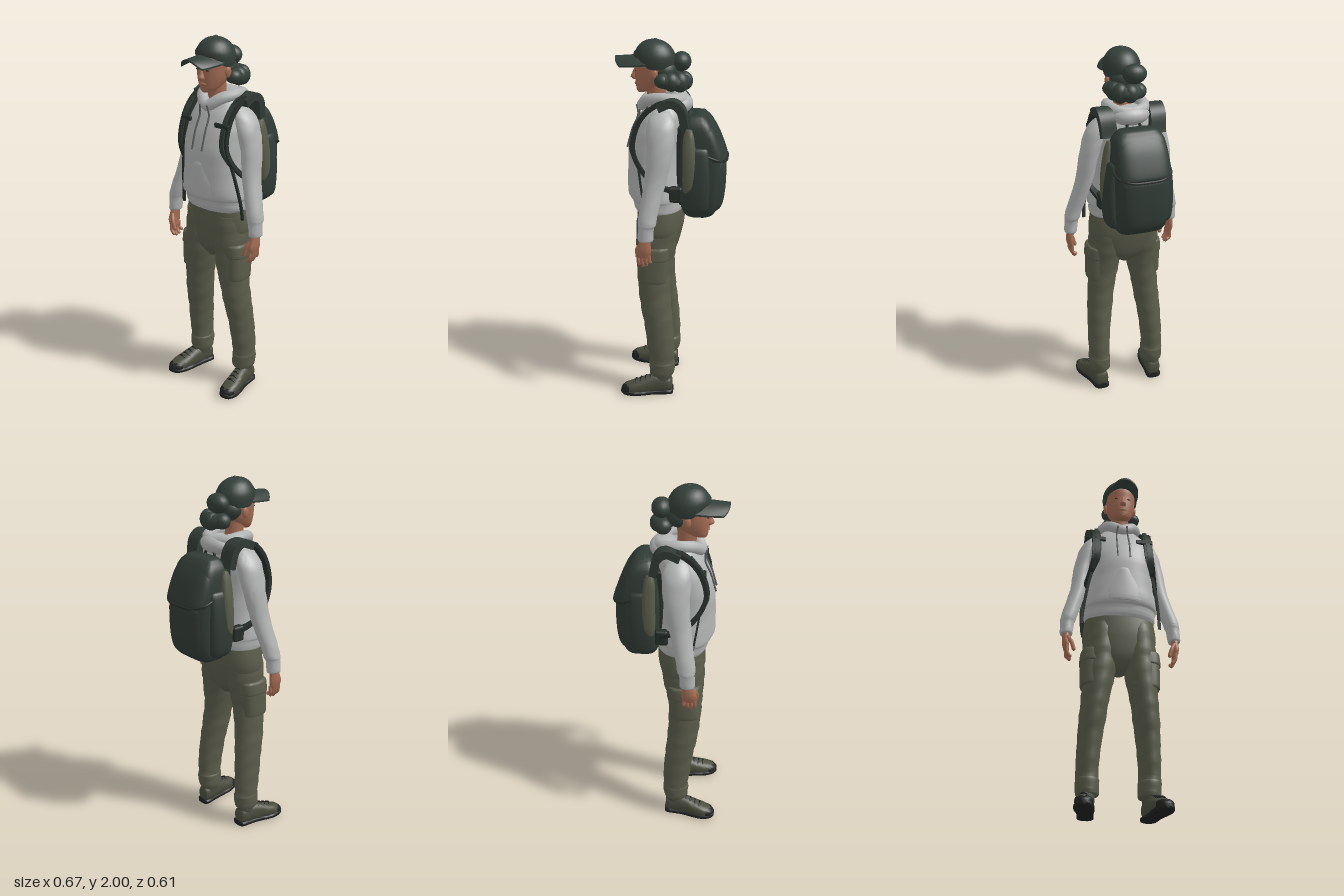
import * as THREE from 'three';
import { toCreasedNormals } from 'three/addons/utils/BufferGeometryUtils.js';
import { RoundedBoxGeometry } from 'three/addons/geometries/RoundedBoxGeometry.js';

const mat = (name, color) => Object.assign(new THREE.MeshStandardMaterial({ color }), { name });
const M = {
  hoodie: mat('light grey cloth', 0xb2b3b3), pants: mat('olive cloth', 0x5a5c4a),
  cap: mat('dark green cloth', 0x343f39), pack: mat('pack green', 0x313b35),
  strap: mat('strap black green', 0x272e2a), panel: mat('pack olive', 0x575b48),
  skin: mat('skin', 0xa56d55), shoe: mat('shoe olive', 0x4a4c3d),
  sole: mat('sole black', 0x1f2120), cord: mat('cord grey', 0x5a5d5e),
};
const V = (x, y, z) => new THREE.Vector3(x, y, z);

// Smooth value through four neighbouring rows
const spline = (a, b, c, d, t) => 0.5 * (2 * b + (c - a) * t + (2 * a - 5 * b + 4 * c - d) * t * t + (3 * b - a - 3 * c + d) * t ** 3);

// Closed loft through rows of [height, centreX, centreZ, radiusX, radiusZ]
function loft(rows, { s = 1, power = 2, fold = 0, n = 28, steps = 4 } = {}) {
  const pos = [], idx = [], rings = [], last = rows.length - 1;
  const row = i => rows[Math.min(Math.max(i, 0), last)];
  for (let i = 0; i < last; i++) for (let k = 0; k < steps; k++)
    rings.push(rows[0].map((_, c) => spline(row(i - 1)[c], row(i)[c], row(i + 1)[c], row(i + 2)[c], k / steps)));
  rings.push(rows[last]);
  const bend = v => Math.sign(v) * Math.abs(v) ** (2 / power);
  rings.forEach(([y, cx, cz, rx, rz]) => {
    for (let j = 0; j < n; j++) {
      const a = j / n * Math.PI * 2;
      const f = 1 + fold * (Math.sin(y * 62 + 2 * a + Math.sin(3 * a)) + 0.6 * Math.sin(y * 105 - 3 * a));
      pos.push(s * cx + rx * f * bend(Math.cos(a)), y, cz + rz * f * bend(Math.sin(a)));
    }
  });
  const top = rings.length - 1, c0 = pos.length / 3;
  [rings[0], rings[top]].forEach(([y, cx, cz]) => pos.push(s * cx, y, cz));
  for (let j = 0; j < n; j++) {
    const k = (j + 1) % n;
    for (let i = 0; i < top; i++) {
      const a = i * n + j, b = i * n + k;
      idx.push(a, a + n, b, b, a + n, b + n);
    }
    idx.push(c0, j, k, c0 + 1, top * n + k, top * n + j);
  }
  const g = new THREE.BufferGeometry();
  g.setAttribute('position', new THREE.Float32BufferAttribute(pos, 3));
  g.setIndex(idx);
  return toCreasedNormals(g, 0.9);
}

const path = (pts, s = 1, closed = false) => new THREE.CatmullRomCurve3(pts.map(p => V(s * p[0], p[1], p[2])), closed);
const tube = (pts, r, s = 1, closed = false) => new THREE.TubeGeometry(path(pts, s, closed), 32, r, 10, closed);

// Flat band that follows a path, its width kept along x
function ribbon(pts, width, thick, s = 1) {
  const g = new THREE.BoxGeometry(width, thick, 1, 1, 1, 28), p = g.attributes.position, curve = path(pts, s);
  for (let i = 0; i < p.count; i++) {
    const t = p.getZ(i) + 0.5, n = curve.getTangent(t).cross(V(1, 0, 0)).normalize();
    const q = curve.getPoint(t).addScaledVector(n, p.getY(i));
    p.setXYZ(i, q.x + p.getX(i), q.y, q.z);
  }
  g.computeVertexNormals();
  return g;
}

const ball = (x, y, z, rx, ry, rz) => new THREE.SphereGeometry(1, 20, 14).scale(rx, ry, rz).translate(x, y, z);
const block = (x, y, z, w, h, d, r = 0.004) => new RoundedBoxGeometry(w, h, d, 2, r).translate(x, y, z);

export function createModel() {
  const model = new THREE.Group();
  const add = (name, geometry, material) => {
    const m = new THREE.Mesh(geometry, material);
    m.name = name;
    model.add(m);
  };

  // Head, face and neck
  add('neck', loft([[1.62, 0, 0.07, 0.055, 0.055], [1.7, 0, 0.085, 0.048, 0.05], [1.78, 0, 0.09, 0.052, 0.06]]), M.skin);
  add('head', loft([[1.718, 0, 0.165, 0.02, 0.02], [1.732, 0, 0.145, 0.043, 0.046], [1.76, 0, 0.122, 0.061, 0.074],
    [1.8, 0, 0.108, 0.076, 0.091], [1.85, 0, 0.1, 0.084, 0.1], [1.9, 0, 0.1, 0.086, 0.102], [1.95, 0, 0.1, 0.07, 0.075]], { power: 2.2 }), M.skin);
  add('nose', loft([[1.785, 0, 0.198, 0.014, 0.012], [1.797, 0, 0.2, 0.018, 0.024], [1.82, 0, 0.196, 0.011, 0.018], [1.85, 0, 0.19, 0.008, 0.01]], { n: 12 }), M.skin);
  add('lips', ball(0, 1.764, 0.193, 0.023, 0.008, 0.009), M.skin);
  add('chin', ball(0, 1.735, 0.176, 0.022, 0.015, 0.016), M.skin);
  for (const s of [1, -1]) {
    add('eye', ball(s * 0.033, 1.836, 0.192, 0.014, 0.004, 0.004), M.strap);
    add('ear', ball(s * 0.083, 1.822, 0.09, 0.012, 0.03, 0.02), M.skin);
  }

  // Hair: back of the head, upper bun and the roll over the left shoulder
  add('backHair', ball(0, 1.835, 0.045, 0.083, 0.065, 0.07), M.cap);
  add('bun', ball(-0.02, 1.878, -0.045, 0.066, 0.052, 0.052), M.cap);
  const roll = [[-0.045, 1.785, -0.035], [0.01, 1.782, -0.065], [0.06, 1.782, -0.045], [0.077, 1.785, 0], [0.08, 1.79, 0.045]];
  roll.forEach((p, i) => add('hairRollLobe', ball(...p, 0.044, [0.042, 0.05, 0.054, 0.05, 0.038][i], 0.044), M.cap));
  add('hairRoll', tube(roll, 0.041), M.cap);

  // Cap: crown raised at the front, button and curved brim
  const crown = loft([[1.848, 0, 0.095, 0.094, 0.104], [1.88, 0, 0.095, 0.1, 0.111], [1.92, 0, 0.095, 0.097, 0.107],
    [1.96, 0, 0.097, 0.077, 0.084], [1.985, 0, 0.1, 0.046, 0.05], [1.995, 0, 0.1, 0.012, 0.012]]);
  const cp = crown.attributes.position;
  for (let i = 0; i < cp.count; i++) {
    const low = THREE.MathUtils.clamp((1.94 - cp.getY(i)) / 0.09, 0, 1);
    cp.setY(i, cp.getY(i) + 0.05 * low * THREE.MathUtils.smoothstep(cp.getZ(i), 0.1, 0.19));
  }
  add('capCrown', crown, M.cap);
  add('capButton', ball(0, 1.994, 0.09, 0.011, 0.006, 0.011), M.cap);
  const brim = new THREE.BoxGeometry(2, 0.009, 1, 16, 1, 10), bp = brim.attributes.position;
  for (let i = 0; i < bp.count; i++) {
    const u = bp.getX(i), v = bp.getZ(i) + 0.5;
    bp.setXYZ(i, u * (0.094 - 0.02 * v * v), bp.getY(i) + 1.913 - 0.042 * u * u - 0.012 * v, 0.14 + v * (0.163 - 0.022 * u ** 4) - 0.01 * u * u);
  }
  brim.computeVertexNormals();
  add('capBrim', brim, M.cap);

  // Hoodie body, pocket, hood and cords
  add('hoodieBody', loft([[1.08, 0, 0.07, 0.188, 0.128], [1.1, 0, 0.07, 0.197, 0.138], [1.14, 0, 0.075, 0.197, 0.142],
    [1.17, 0, 0.085, 0.204, 0.15], [1.3, 0, 0.092, 0.183, 0.145], [1.42, 0, 0.095, 0.178, 0.143], [1.52, 0, 0.075, 0.178, 0.135],
    [1.6, 0, 0.055, 0.162, 0.116], [1.65, 0, 0.045, 0.12, 0.092], [1.69, 0, 0.05, 0.075, 0.065]], { power: 2.3, fold: 0.006, n: 40 }), M.hoodie);
  add('frontPocket', loft([[1.16, 0, 0.15, 0.145, 0.09], [1.18, 0, 0.15, 0.15, 0.094], [1.25, 0, 0.15, 0.14, 0.094],
    [1.34, 0, 0.15, 0.088, 0.093], [1.36, 0, 0.15, 0.08, 0.088]]), M.hoodie);
  const collar = [[0.065, 1.685, 0.125], [0.098, 1.7, 0.05], [0.078, 1.69, -0.03]];
  add('hoodCollar', tube([[0, 1.645, 0.162], ...collar, [0, 1.68, -0.06], ...collar.map(([x, y, z]) => [-x, y, z]).reverse()], 0.031, 1, true), M.hoodie);
  add('hoodBack', ball(0, 1.66, -0.035, 0.105, 0.055, 0.075), M.hoodie);
  for (const s of [1, -1])
    add('drawCord', tube([[0.025, 1.655, 0.19], [0.032, 1.6, 0.182], [0.035, 1.52, 0.214], [0.034, 1.42, 0.243]], 0.005, s), M.cord);

  // Trouser seat
  add('trouserSeat', loft([[0.79, 0, 0.08, 0.03, 0.06], [0.85, 0, 0.075, 0.14, 0.1], [0.95, 0, 0.068, 0.197, 0.122],
    [1.02, 0, 0.064, 0.202, 0.13], [1.11, 0, 0.064, 0.188, 0.128]], { power: 2.3, n: 40 }), M.pants);

  for (const s of [1, -1]) {
    // Sleeve and hand
    add('sleeve', loft([[0.98, 0.298, 0.113, 0.031, 0.037], [0.99, 0.299, 0.113, 0.035, 0.041], [1.05, 0.294, 0.11, 0.037, 0.042],
      [1.07, 0.291, 0.106, 0.042, 0.048], [1.12, 0.278, 0.1, 0.044, 0.05], [1.28, 0.232, 0.07, 0.046, 0.058], [1.42, 0.21, 0.048, 0.05, 0.067],
      [1.54, 0.178, 0.045, 0.054, 0.076], [1.6, 0.152, 0.045, 0.046, 0.066], [1.64, 0.12, 0.045, 0.03, 0.042]], { s, fold: 0.018 }), M.hoodie);
    add('palm', loft([[0.885, 0.297, 0.125, 0.014, 0.034], [0.92, 0.302, 0.125, 0.018, 0.041], [0.95, 0.302, 0.12, 0.019, 0.036], [1.0, 0.298, 0.115, 0.02, 0.026]], { s }), M.skin);
    for (let i = 0; i < 4; i++) {
      const z = 0.094 + i * 0.02, tip = 0.824 + [0.02, 0.005, 0, 0.008][i];
      add('finger', tube([[0.297, 0.9, z], [0.294, 0.86, z], [0.28, tip + 0.008, z - 0.002]], 0.0095, s), M.skin);
      add('fingertip', ball(s * 0.28, tip + 0.008, z - 0.002, 0.0097, 0.0097, 0.0097), M.skin);
    }
    add('thumb', tube([[0.295, 0.955, 0.145], [0.275, 0.92, 0.162], [0.262, 0.88, 0.162]], 0.011, s), M.skin);
    add('thumbTip', ball(s * 0.262, 0.88, 0.162, 0.011, 0.014, 0.011), M.skin);

    // Trouser leg with cargo pocket
    add('trouserLeg', loft([[0.115, 0.162, 0.045, 0.056, 0.064], [0.13, 0.163, 0.045, 0.061, 0.07], [0.19, 0.164, 0.043, 0.063, 0.073],
      [0.21, 0.165, 0.043, 0.059, 0.07], [0.3, 0.163, 0.05, 0.061, 0.077], [0.42, 0.155, 0.062, 0.066, 0.08], [0.52, 0.145, 0.077, 0.072, 0.085],
      [0.62, 0.134, 0.087, 0.075, 0.088], [0.75, 0.117, 0.092, 0.086, 0.094], [0.85, 0.109, 0.083, 0.094, 0.105],
      [0.95, 0.105, 0.075, 0.094, 0.115], [1.05, 0.1, 0.07, 0.088, 0.115]], { s, fold: 0.018, steps: 5 }), M.pants);
    add('cargoPocket', loft([[0.69, 0.132, 0.095, 0.078, 0.076], [0.705, 0.132, 0.095, 0.083, 0.08], [0.82, 0.13, 0.09, 0.085, 0.084], [0.87, 0.128, 0.088, 0.084, 0.084]], { s, power: 3 }), M.pants);
    add('pocketFlap', loft([[0.822, 0.13, 0.09, 0.089, 0.087], [0.832, 0.13, 0.09, 0.09, 0.089], [0.885, 0.127, 0.087, 0.088, 0.089], [0.895, 0.126, 0.087, 0.082, 0.084]], { s, power: 3 }), M.pants);

    // Shoe: lofted from heel to toe, then laid along z
    const shoe = (rows, power) => loft(rows, { s, power }).rotateX(Math.PI / 2);
    add('shoeUpper', shoe([[-0.014, 0.164, -0.055, 0.025, 0.032], [0, 0.165, -0.06, 0.04, 0.046], [0.06, 0.173, -0.065, 0.043, 0.056],
      [0.11, 0.182, -0.06, 0.044, 0.052], [0.16, 0.192, -0.05, 0.048, 0.043], [0.21, 0.2, -0.042, 0.048, 0.034], [0.25, 0.204, -0.035, 0.036, 0.026],
      [0.268, 0.205, -0.03, 0.016, 0.014]], 2.4), M.shoe);
    add('shoeCollar', loft([[0.07, 0.168, 0.045, 0.042, 0.055], [0.12, 0.166, 0.043, 0.044, 0.054], [0.14, 0.165, 0.043, 0.038, 0.048]], { s }), M.shoe);
    add('shoeSole', shoe([[-0.019, 0.164, -0.015, 0.03, 0.015], [0, 0.165, -0.015, 0.044, 0.015], [0.08, 0.176, -0.013, 0.043, 0.013],
      [0.16, 0.192, -0.014, 0.052, 0.014], [0.21, 0.2, -0.015, 0.052, 0.015], [0.255, 0.205, -0.019, 0.038, 0.015], [0.274, 0.206, -0.023, 0.016, 0.01]], 4), M.sole);
    add('toeCap', shoe([[0.225, 0.202, -0.037, 0.047, 0.032], [0.25, 0.204, -0.034, 0.039, 0.027], [0.271, 0.205, -0.029, 0.018, 0.014]], 2.4), M.sole);
    for (let i = 0; i < 4; i++) {
      const z = 0.1 + i * 0.028, x = 0.18 + i * 0.0055, y = 0.116 - i * 0.0085;
      add('lace', tube([[x - 0.03, y - 0.017, z], [x, y, z + 0.006], [x + 0.03, y - 0.017, z]], 0.005, s), M.sole);
    }

    // Shoulder strap, padding, hanging webbing and chest buckle
    add('shoulderStrap', ribbon([[0.11, 1.56, -0.075], [0.13, 1.66, -0.05], [0.143, 1.69, 0.02], [0.146, 1.655, 0.1], [0.146, 1.575, 0.165],
      [0.15, 1.45, 0.196], [0.166, 1.36, 0.165], [0.188, 1.27, 0.08], [0.16, 1.2, -0.06]], 0.048, 0.022, s), M.strap);
    add('shoulderPad', ribbon([[0.135, 1.56, -0.08], [0.143, 1.66, -0.055], [0.145, 1.69, -0.01], [0.146, 1.665, 0.06]], 0.085, 0.042, s), M.pack);
    add('strapWebbing', ribbon([[0.14, 1.665, 0.115], [0.143, 1.575, 0.18], [0.15, 1.45, 0.21], [0.165, 1.37, 0.18]], 0.022, 0.008, s), M.pack);
    add('hangingWebbing', ribbon([[0.165, 1.38, 0.17], [0.193, 1.25, 0.15], [0.212, 1.12, 0.13], [0.217, 1.05, 0.125]], 0.016, 0.01, s), M.strap);
    add('chestBuckle', block(s * 0.125, 1.56, 0.185, s > 0 ? 0.095 : 0.06, 0.024, 0.016), M.strap);

    // Pack sides: pocket, olive panel, hip pad and edge piping
    add('sidePocket', loft([[1.09, 0.14, -0.14, 0.022, 0.045], [1.13, 0.152, -0.14, 0.034, 0.068], [1.28, 0.158, -0.14, 0.034, 0.072], [1.42, 0.148, -0.14, 0.026, 0.065], [1.45, 0.14, -0.14, 0.02, 0.055]], { s, power: 2.6 }), M.pack);
    add('sidePanel', loft([[1.17, 0.152, -0.1, 0.022, 0.02], [1.25, 0.16, -0.105, 0.034, 0.036], [1.38, 0.158, -0.105, 0.034, 0.036], [1.5, 0.145, -0.1, 0.026, 0.03], [1.55, 0.135, -0.1, 0.02, 0.016]], { s, power: 2.6 }), M.panel);
    add('hipPad', block(s * 0.165, 1.2, -0.035, 0.045, 0.085, 0.07, 0.012), M.strap);
  }

  // Backpack body, lid, lower pocket and seams
  add('packBody', loft([[1.05, 0, -0.15, 0.1, 0.055], [1.075, 0, -0.152, 0.132, 0.088], [1.15, 0, -0.155, 0.149, 0.112],
    [1.3, 0, -0.158, 0.154, 0.12], [1.4, 0, -0.156, 0.154, 0.116], [1.5, 0, -0.148, 0.148, 0.098], [1.57, 0, -0.138, 0.134, 0.076], [1.61, 0, -0.132, 0.1, 0.045]], { power: 4, n: 48 }), M.pack);
  add('packLid', loft([[1.375, 0, -0.2, 0.146, 0.09], [1.385, 0, -0.2, 0.151, 0.097], [1.45, 0, -0.19, 0.15, 0.085],
    [1.53, 0, -0.17, 0.14, 0.07], [1.59, 0, -0.15, 0.115, 0.048], [1.612, 0, -0.14, 0.085, 0.025]], { power: 3.4, n: 48 }), M.pack);
  add('lowerPocket', loft([[1.075, 0, -0.19, 0.09, 0.05], [1.11, 0, -0.195, 0.122, 0.08], [1.2, 0, -0.2, 0.136, 0.09], [1.33, 0, -0.2, 0.14, 0.092], [1.362, 0, -0.2, 0.135, 0.088]], { power: 3.2, n: 48 }), M.pack);
  add('lidSeam', tube([[-0.155, 1.43, -0.15], [-0.148, 1.39, -0.245], [-0.09, 1.372, -0.29], [0, 1.368, -0.297], [0.09, 1.372, -0.29], [0.148, 1.39, -0.245], [0.155, 1.43, -0.15]], 0.007), M.strap);
  add('backPad', block(0, 1.34, -0.05, 0.23, 0.44, 0.04, 0.015), M.strap);
  add('carryHandle', tube([[-0.04, 1.59, -0.085], [-0.03, 1.625, -0.08], [0.03, 1.625, -0.08], [0.04, 1.59, -0.085]], 0.008), M.strap);
  return model;
}
